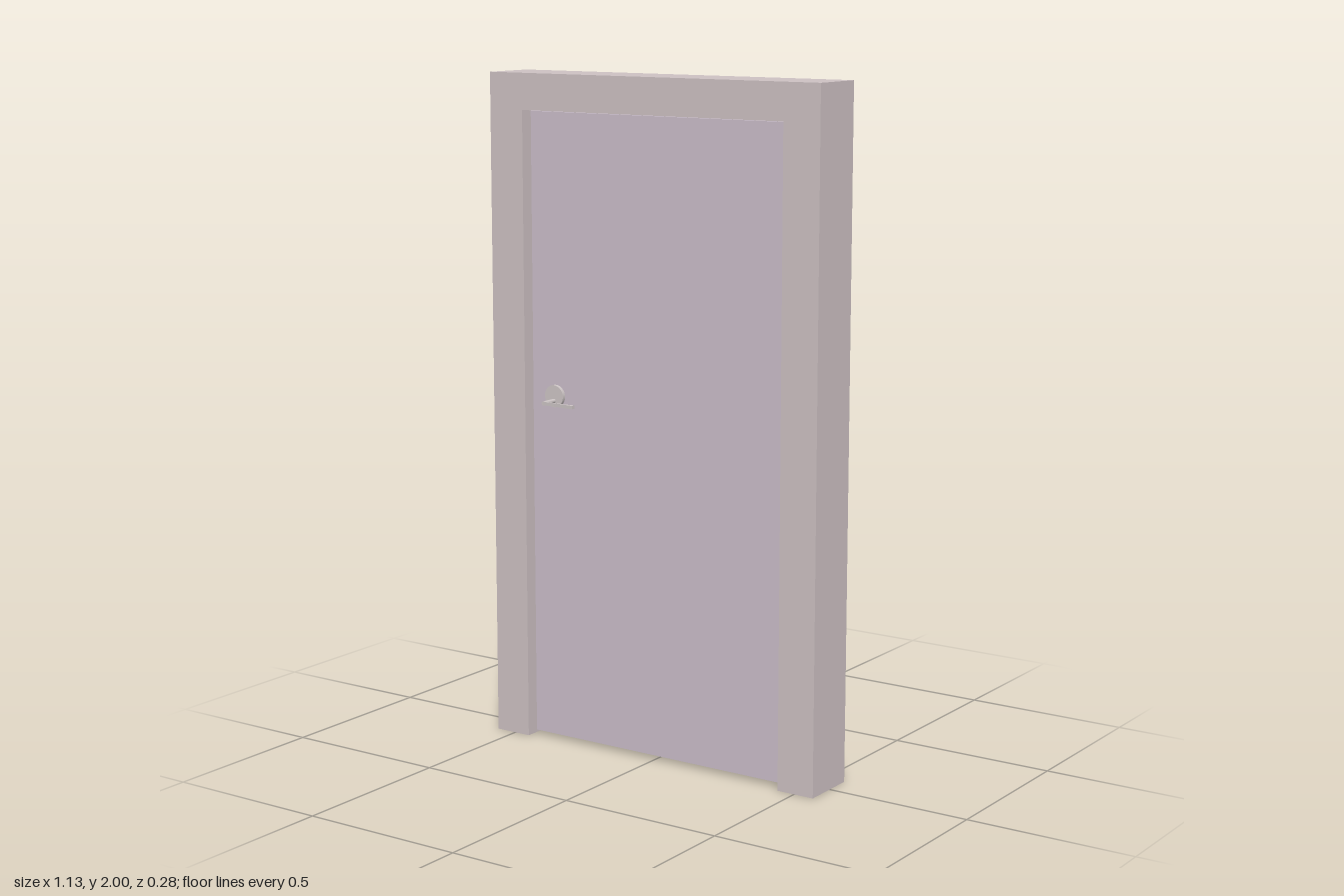
import * as THREE from 'three';

const frameMat = new THREE.MeshStandardMaterial({ color: 0xccc0c2 });
const doorMat = new THREE.MeshStandardMaterial({ color: 0xcabdc9 });
const handleMat = new THREE.MeshStandardMaterial({ color: 0xccc4c4 });

function polygon(points) {
  return new THREE.Shape(points.map(([x, y]) => new THREE.Vector2(x, y)));
}

function addMesh(parent, name, geometry, material) {
  const mesh = new THREE.Mesh(geometry, material);
  mesh.name = name;
  parent.add(mesh);
  return mesh;
}

// Lever set on one face; side is +1 for the front, -1 for the back
function createHandle(side) {
  const handle = new THREE.Group();
  handle.name = side > 0 ? 'frontHandle' : 'backHandle';
  const x = -0.35, y = 1.043;

  // round plate, sunk slightly into the door
  const rosette = addMesh(handle, 'rosette', new THREE.CylinderGeometry(0.033, 0.033, 0.025, 32), handleMat);
  rosette.rotation.x = Math.PI / 2;
  rosette.position.set(x, 1.057, side > 0 ? 0.0685 : -0.0595);

  // stem standing out from the plate
  const stem = addMesh(handle, 'stem', new THREE.CylinderGeometry(0.0065, 0.0065, 0.072, 16), handleMat);
  stem.rotation.x = Math.PI / 2;
  stem.position.set(x, y, side * 0.096);

  // thin lever that thickens towards its free end
  const profile = [
    [-0.355, 0.130], [-0.344, 0.127], [-0.31, 0.1295], [-0.27, 0.1305],
    [-0.24, 0.128], [-0.24, 0.140], [-0.27, 0.1375], [-0.31, 0.134], [-0.35, 0.132],
  ].map(([px, pz]) => [px, -side * pz]);
  const geometry = new THREE.ExtrudeGeometry(polygon(profile), { depth: 0.01, bevelEnabled: false });
  geometry.rotateX(-Math.PI / 2);
  addMesh(handle, 'lever', geometry, handleMat).position.y = y - 0.005;
  return handle;
}

export function createModel() {
  const model = new THREE.Group();
  model.name = 'door';

  // surround: two jambs and a lintel in one piece
  const surround = polygon([
    [-0.565, 0], [-0.448, 0], [-0.448, 1.893], [0.445, 1.893],
    [0.445, 0], [0.562, 0], [0.562, 2], [-0.565, 2],
  ]);
  const frameGeometry = new THREE.ExtrudeGeometry(surround, { depth: 0.174, bevelEnabled: false });
  addMesh(model, 'frame', frameGeometry, frameMat).position.z = -0.081;

  // plain leaf with a narrow gap all round
  const leaf = addMesh(model, 'doorLeaf', new THREE.BoxGeometry(0.866, 1.875, 0.13), doorMat);
  leaf.position.set(-0.001, 0.9525, 0.005);

  for (const side of [1, -1]) model.add(createHandle(side));
  return model;
}
